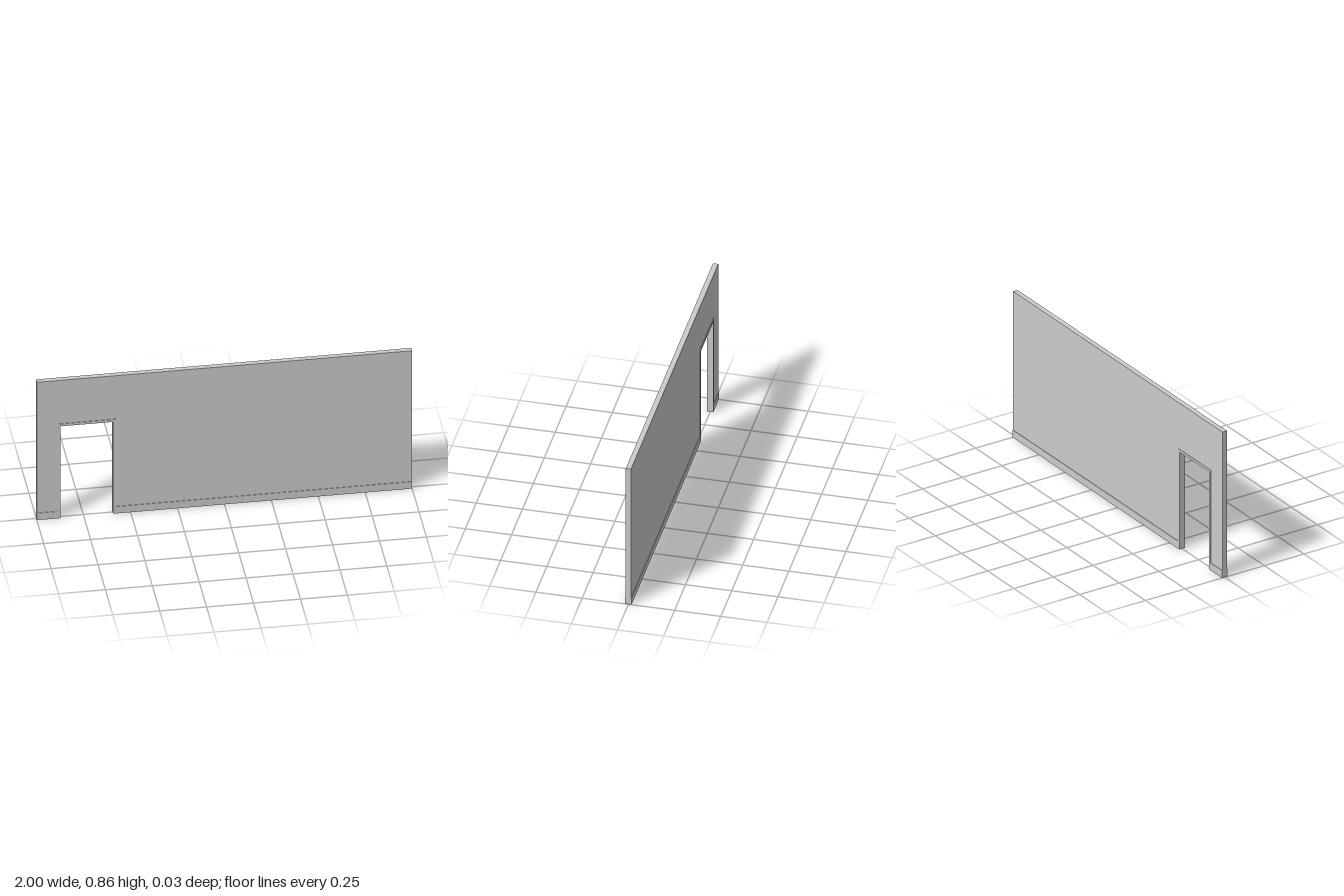
import * as THREE from 'three';

const HEIGHT = 0.857, WALL = 0.0286, TRIM = 0.0028;
const DOOR_L = -0.875, DOOR_R = -0.594, DOOR_TOP = 0.572;
const FRAME = 0.015, SKIRTING = 0.043;

function extrude(name, points, depth, z, material) {
  const shape = new THREE.Shape(points.map(([x, y]) => new THREE.Vector2(x, y)));
  const geometry = new THREE.ExtrudeGeometry(shape, { depth, bevelEnabled: false });
  const mesh = new THREE.Mesh(geometry, material);
  mesh.name = name;
  mesh.position.z = z;
  return mesh;
}

export function createModel() {
  const group = new THREE.Group();
  group.name = 'wallWithDoorway';
  const material = new THREE.MeshStandardMaterial({ color: 0xcccccc, flatShading: true });

  // Doorway edge, open at the floor
  const doorway = [[DOOR_R, 0], [DOOR_R, DOOR_TOP], [DOOR_L, DOOR_TOP], [DOOR_L, 0]];

  // Wall panel
  const wall = [[-1, 0], [-1, HEIGHT], [1, HEIGHT], [1, 0], ...doorway];
  group.add(extrude('wall', wall, WALL, -WALL / 2, material));

  // Skirting board joined to the door surround, on both faces
  const trim = [
    [-1, 0], [-1, SKIRTING],
    [DOOR_L - FRAME, SKIRTING], [DOOR_L - FRAME, DOOR_TOP + FRAME],
    [DOOR_R + FRAME, DOOR_TOP + FRAME], [DOOR_R + FRAME, SKIRTING],
    [1, SKIRTING], [1, 0], ...doorway,
  ];
  group.add(extrude('frontTrim', trim, TRIM, WALL / 2, material));
  group.add(extrude('backTrim', trim, TRIM, -WALL / 2 - TRIM, material));

  return group;
}
